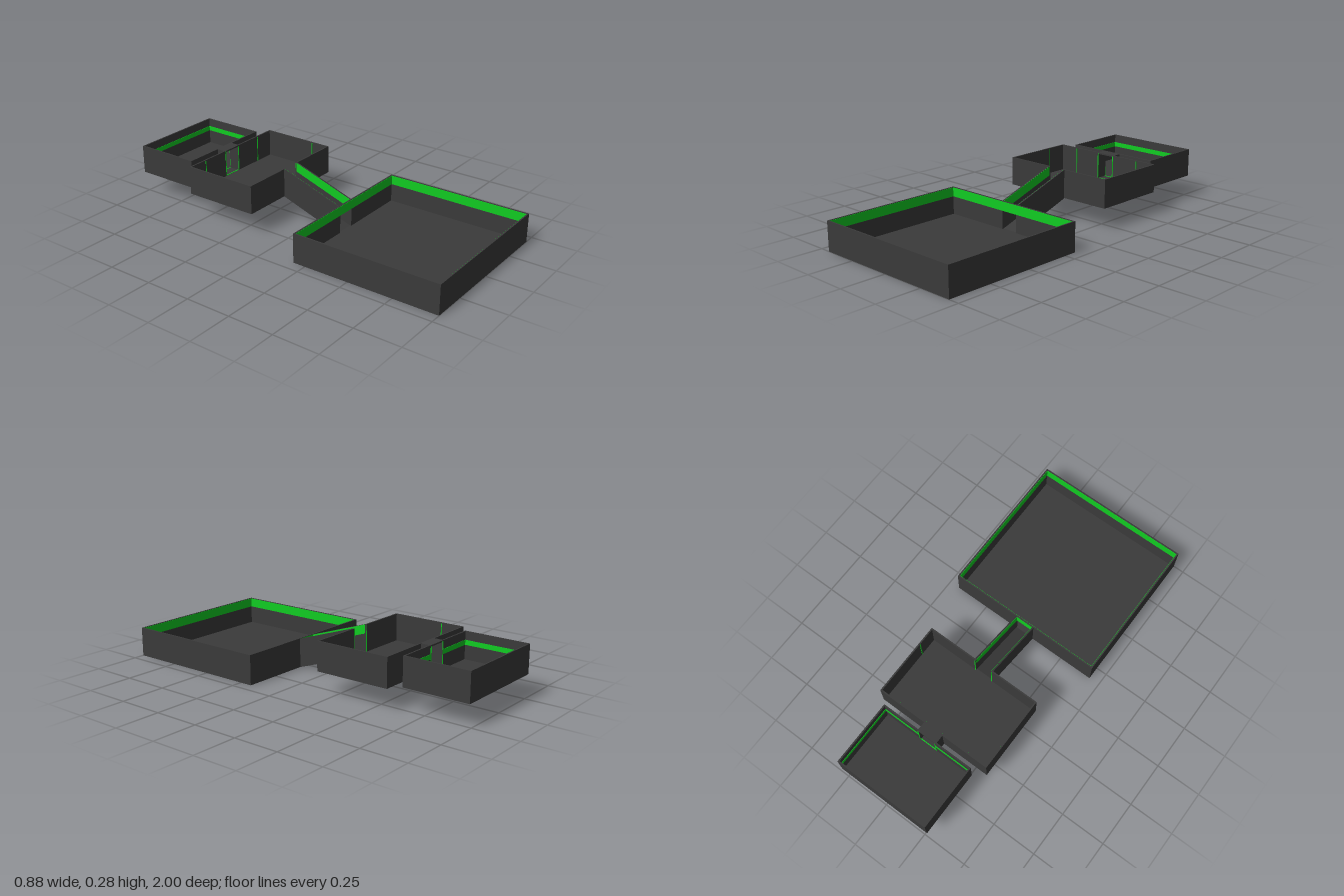
import * as THREE from 'three';

const dark = new THREE.MeshStandardMaterial({ color: 0x3a3a3a });
const green = new THREE.MeshStandardMaterial({ color: 0x11cc22 });
const T = 0.008; // wall thickness
const P = 0.002; // how far green trim stands proud of a wall
const DOOR = [-0.055, 0.045];
const H = 0.156;

// Box given by its two extreme corners
function block(parent, name, mat, [x0, x1], [y0, y1], [z0, z1]) {
  const m = new THREE.Mesh(new THREE.BoxGeometry(x1 - x0, y1 - y0, z1 - z0), mat);
  m.position.set((x0 + x1) / 2, (y0 + y1) / 2, (z0 + z1) / 2);
  m.name = name;
  parent.add(m);
}

// Open-topped room; doors are cut in the front and/or back wall
function room(name, [x0, x1], [z0, z1], y0, h, { frontDoor, backDoor, band }) {
  const g = new THREE.Group();
  g.name = name;
  const y = [y0, y0 + h];
  block(g, 'floor', dark, [x0, x1], [y0, y0 + T], [z0, z1]);
  block(g, 'rightWall', dark, [x0, x0 + T], y, [z0, z1]);
  block(g, 'leftWall', dark, [x1 - T, x1], y, [z0, z1]);
  const spans = (door) => (door ? [[x0, DOOR[0]], [DOOR[1], x1]] : [[x0, x1]]);
  for (const s of spans(frontDoor)) block(g, 'frontWall', dark, s, y, [z1 - T, z1]);
  for (const s of spans(backDoor)) block(g, 'backWall', dark, s, y, [z0, z0 + T]);
  if (band) {
    // Green stripe round the inside of the walls
    const b = [y0 + band[0], y0 + band[1]];
    const inner = ([a, c]) => [Math.max(a, x0 + T), Math.min(c, x1 - T)];
    block(g, 'rightStripe', green, [x0 + T, x0 + T + P], b, [z0 + T, z1 - T]);
    block(g, 'leftStripe', green, [x1 - T - P, x1 - T], b, [z0 + T, z1 - T]);
    for (const s of spans(frontDoor)) block(g, 'frontStripe', green, inner(s), b, [z1 - T - P, z1 - T]);
    for (const s of spans(backDoor)) block(g, 'backStripe', green, inner(s), b, [z0 + T, z0 + T + P]);
  }
  return g;
}

// Sloping slab: a parallelogram in z and y, extruded across x
function slope(parent, name, mat, [x0, x1], lo, hi) {
  const zF = 0.18, zB = -0.17, rise = 0.118;
  const s = new THREE.Shape([
    new THREE.Vector2(-zF, lo), new THREE.Vector2(-zB, lo + rise),
    new THREE.Vector2(-zB, hi + rise), new THREE.Vector2(-zF, hi),
  ]);
  const geo = new THREE.ExtrudeGeometry(s, { depth: x1 - x0, bevelEnabled: false });
  geo.rotateY(Math.PI / 2); // shape x becomes -z, depth becomes x
  geo.translate(x0, 0, 0);
  const m = new THREE.Mesh(geo, mat);
  m.name = name;
  parent.add(m);
}

export function createModel() {
  const model = new THREE.Group();
  model.name = 'linkedRooms';
  const Y = 0.12;

  // Large front room, with its stripe carried over the doorway as a lintel
  const front = room('frontRoom', [-0.44, 0.44], [0.18, 1], 0, 0.16, { backDoor: true, band: [0.108, 0.158] });
  block(front, 'doorLintel', green, DOOR, [0.108, 0.158], [0.18, 0.18 + T + P]);
  block(front, 'lintelCap', dark, DOOR, [0.158, 0.16], [0.18, 0.18 + T]);
  model.add(front);

  // Sloping passage
  const ramp = new THREE.Group();
  ramp.name = 'rampPassage';
  slope(ramp, 'rampFloor', dark, DOOR, 0, T);
  slope(ramp, 'rampRightWall', dark, [DOOR[0] - T, DOOR[0]], 0, 0.158);
  slope(ramp, 'rampLeftWall', dark, [DOOR[1], DOOR[1] + T], 0, 0.158);
  slope(ramp, 'rampRightStripe', green, [DOOR[0], DOOR[0] + P], 0.108, 0.157);
  slope(ramp, 'rampLeftStripe', green, [DOOR[1] - P, DOOR[1]], 0.108, 0.157);
  model.add(ramp);

  // Middle room with thin upright strips
  const middle = room('middleRoom', [-0.335, 0.333], [-0.59, -0.17], Y, H, { frontDoor: true, backDoor: true });
  const w = 0.005, up = [Y + T, Y + H - 0.004];
  for (const x of [-0.22, DOOR[0] - w, DOOR[1], 0.21]) {
    block(middle, 'backStrip', green, [x, x + w], up, [-0.59 + T, -0.59 + T + P]);
  }
  for (const x of [DOOR[0] - w, DOOR[1]]) {
    block(middle, 'frontDoorStrip', green, [x, x + w], up, [-0.17 - T - P, -0.17 - T]);
  }
  block(middle, 'rightStrip', green, [-0.335 + T, -0.335 + T + P], up, [-0.465, -0.46]);
  block(middle, 'leftStrip', green, [0.333 - T - P, 0.333 - T], up, [-0.28, -0.275]);
  model.add(middle);

  // Back room
  model.add(room('backRoom', [-0.275, 0.27], [-1, -0.635], Y, H, { frontDoor: true, band: [0.085, 0.111] }));

  // Short covered link between middle and back rooms
  const link = new THREE.Group();
  link.name = 'shortPassage';
  const z = [-0.635, -0.59];
  block(link, 'linkFloor', dark, DOOR, [Y, Y + T], z);
  block(link, 'linkRightWall', dark, [DOOR[0] - T, DOOR[0]], [Y, Y + H], z);
  block(link, 'linkLeftWall', dark, [DOOR[1], DOOR[1] + T], [Y, Y + H], z);
  block(link, 'linkRoof', dark, DOOR, [Y + H - T, Y + H], [z[0] - T, z[1] + T]);
  for (const s of [z[0] - T, z[1] + T - w]) {
    block(link, 'threshold', green, DOOR, [Y + T, Y + T + P], [s, s + w]);
  }
  for (const x of [DOOR[0] - w, DOOR[1]]) {
    block(link, 'backDoorStrip', green, [x, x + w], up, [z[0] - T - P, z[0] - T]);
  }
  model.add(link);

  return model;
}
